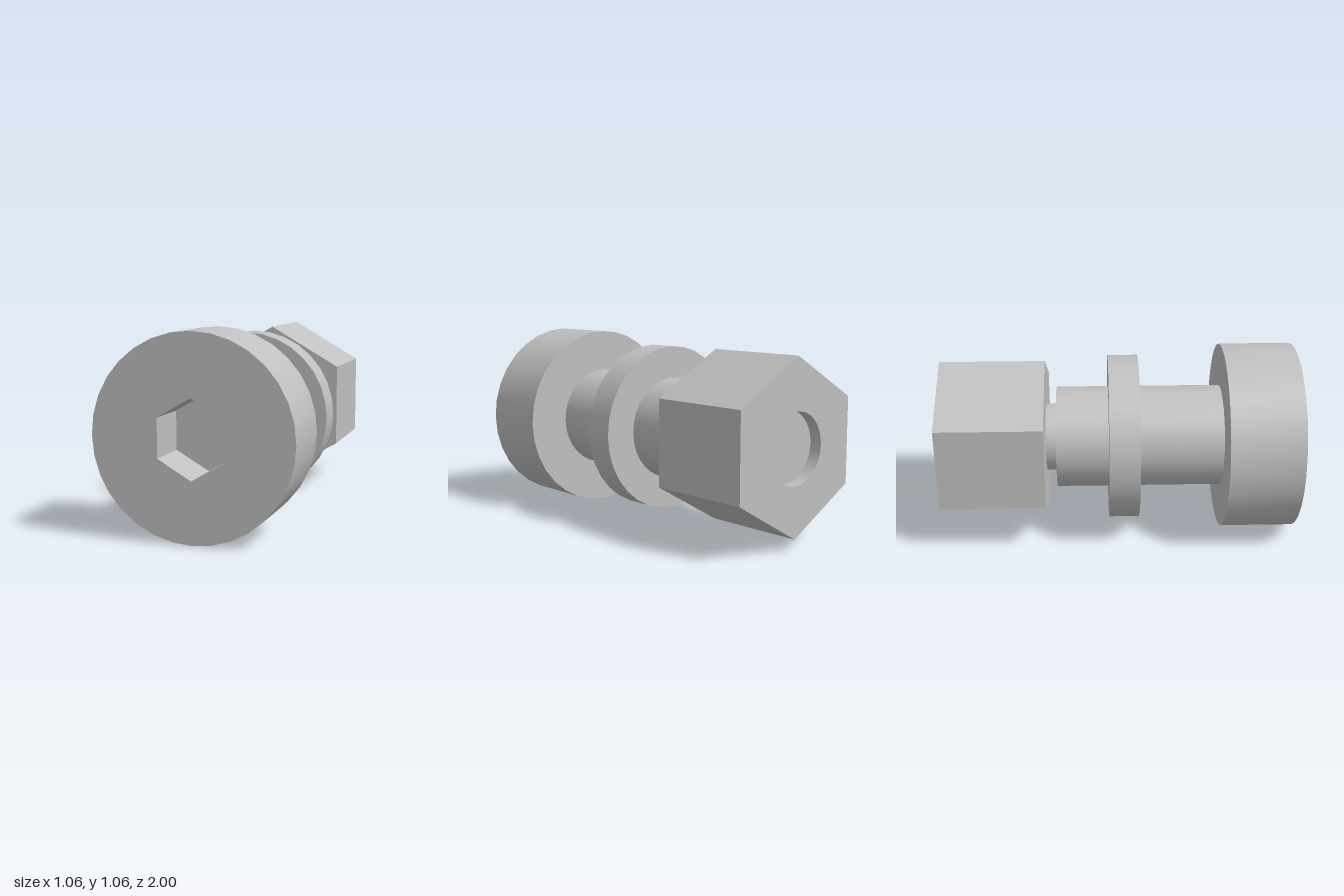
import * as THREE from 'three';
import { toCreasedNormals } from 'three/addons/utils/BufferGeometryUtils.js';

const SIDES = 32;

// Regular polygon with a corner pointing straight up
function polygon(radius, sides) {
  return Array.from({ length: sides }, (_, i) => {
    const a = Math.PI / 2 + (i / sides) * Math.PI * 2;
    return new THREE.Vector2(radius * Math.cos(a), radius * Math.sin(a));
  });
}

// Prism along z from back to front, with a hole right through it
function hollowPrism(outline, hole, back, front) {
  const shape = new THREE.Shape(outline);
  shape.holes.push(new THREE.Path(hole));
  const geo = new THREE.ExtrudeGeometry(shape, { depth: front - back, bevelEnabled: false });
  geo.translate(0, 0, back);
  return toCreasedNormals(geo, 0.5);
}

// Solid round section along z
function round(radius, back, front) {
  const geo = new THREE.CylinderGeometry(radius, radius, front - back, SIDES);
  geo.rotateX(Math.PI / 2);
  geo.translate(0, 0, (front + back) / 2);
  return geo;
}

export function createModel() {
  const model = new THREE.Group();
  model.name = 'boltAssembly';
  const steel = new THREE.MeshStandardMaterial({ color: 0xc0c0c0 });
  steel.name = 'steel';

  function add(name, geometry) {
    const mesh = new THREE.Mesh(geometry, steel);
    mesh.name = name;
    mesh.position.y = 0.53;
    model.add(mesh);
  }

  // Bolt head with its hexagonal key socket
  const socket = polygon(0.205, 6);
  add('head', hollowPrism(polygon(0.53, SIDES), socket, 0.59, 1));
  const floor = new THREE.ShapeGeometry(new THREE.Shape(socket));
  floor.translate(0, 0, 0.745);
  add('socketFloor', floor);

  // Shaft, collar and the threaded end that stops short inside the nut
  add('shaft', round(0.29, -0.35, 0.59));
  add('collar', round(0.47, -0.055, 0.115));
  add('threadedEnd', round(0.193, -0.93, -0.35));

  // Hexagonal nut with a round bore
  add('nut', hollowPrism(polygon(0.474, 6), polygon(0.193, SIDES), -1, -0.41));

  return model;
}
